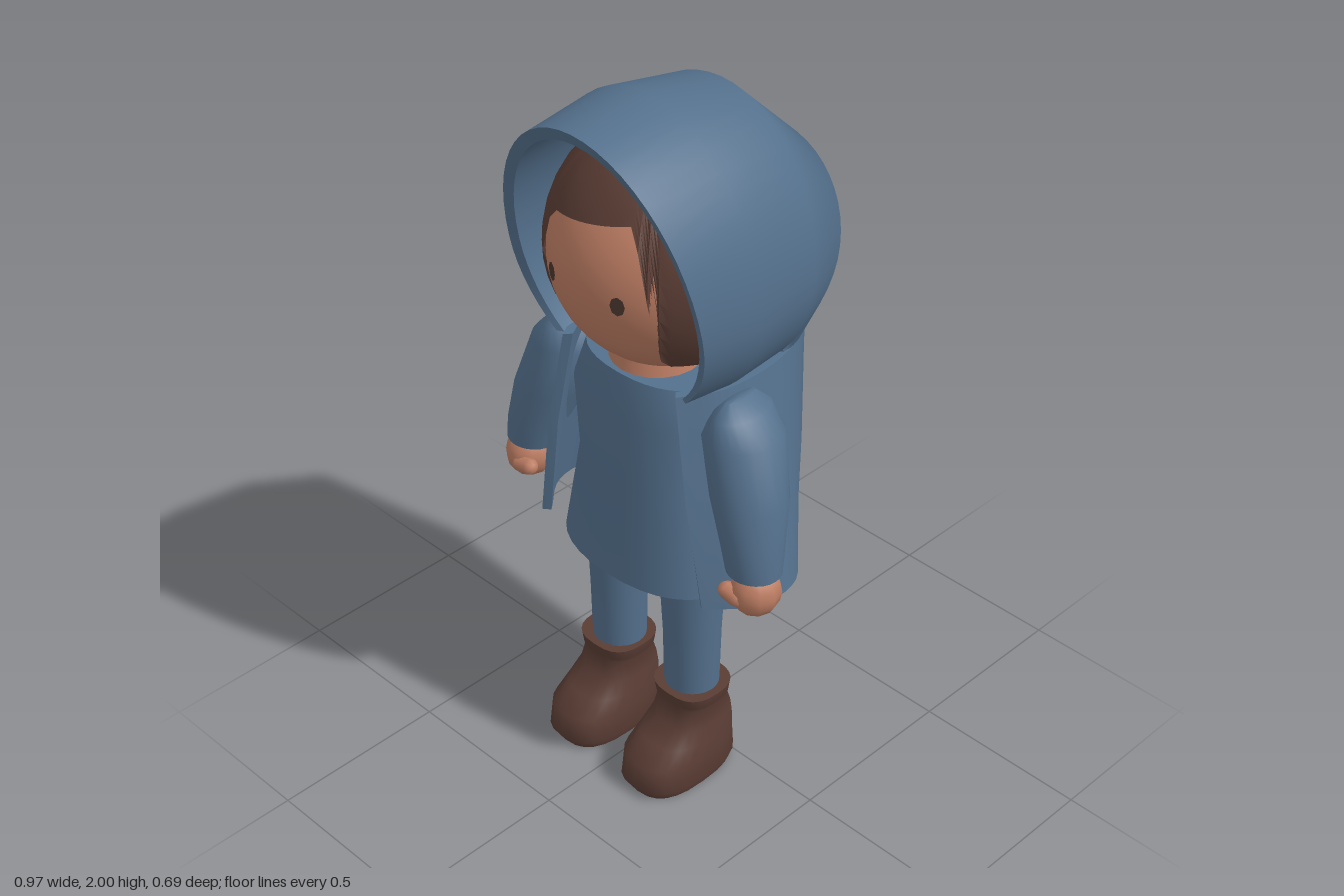
import * as THREE from 'three';
import { toCreasedNormals } from 'three/addons/utils/BufferGeometryUtils.js';

const mat = (name, color, side = THREE.FrontSide) => {
  const m = new THREE.MeshStandardMaterial({ color, side });
  m.name = name;
  return m;
};
const V = (x, y, z) => new THREE.Vector3(x, y, z);

// Skin a list of equal-length rings of points; closed rings wrap around.
function loft(rings, closed = true) {
  const n = rings[0].length, pos = [], idx = [];
  rings.forEach(r => r.forEach(p => pos.push(p.x, p.y, p.z)));
  for (let i = 0; i < rings.length - 1; i++) {
    for (let j = 0; j < (closed ? n : n - 1); j++) {
      const k = (j + 1) % n;
      const a = i * n + j, b = i * n + k, c = a + n, d = b + n;
      idx.push(a, c, d, a, d, b);
    }
  }
  const g = new THREE.BufferGeometry();
  g.setAttribute('position', new THREE.Float32BufferAttribute(pos, 3));
  g.setIndex(idx);
  return toCreasedNormals(g, 1.0);
}

// Solid from horizontal ovals, bottom to top: [y, cx, cz, rx, rz], capped at both ends.
function ovals(rows, power = 1, seg = 24) {
  const sq = v => Math.sign(v) * Math.abs(v) ** power;
  const ring = ([y, cx, cz, rx, rz]) => Array.from({ length: seg }, (_, j) => {
    const t = j / seg * Math.PI * 2;
    return V(cx + rx * sq(Math.cos(t)), y, cz + rz * sq(Math.sin(t)));
  });
  const cap = ([y, cx, cz]) => [y, cx, cz, 0, 0];
  return loft([cap(rows[0]), ...rows, cap(rows[rows.length - 1])].map(ring));
}

// Hood arch standing on the neckline, leaning from zBot to zTop.
const NECK = 1.28, SPREAD = 0.82, ARCH = 40;
function arch(w, top, zTop, zBot, cy = 1.53) {
  return Array.from({ length: ARCH + 1 }, (_, j) => {
    const t = -SPREAD + (Math.PI + 2 * SPREAD) * j / ARCH, s = Math.sin(t);
    const y = s > 0 ? cy + (top - cy) * s : cy + (cy - NECK) * s / Math.sin(SPREAD);
    return V(w * Math.cos(t), y, zBot + (zTop - zBot) * (y - NECK) / (top - NECK));
  });
}

function hoodGeometry() {
  const nape = Array.from({ length: ARCH + 1 }, (_, j) => {
    const t = Math.PI * j / ARCH;
    return V(0.25 * Math.cos(t), NECK, -0.1 - 0.24 * Math.sin(t));
  });
  return loft([
    arch(0.31, 1.9, -0.13, -0.08), arch(0.335, 1.95, 0.11, 0.08), arch(0.308, 1.945, 0.335, 0.2),
    arch(0.335, 1.98, 0.35, 0.21), arch(0.365, 2.0, 0.11, 0.08), arch(0.345, 1.95, -0.14, -0.1),
    arch(0.32, 1.76, -0.34, -0.1, 1.5), nape,
  ], false);
}

// Open-fronted cape: each section is a thin curved band from one front edge round the back.
function capeGeometry() {
  const band = (y, half) => {
    const pts = [...half.map(([x, z]) => V(-x, y, z)), ...half.slice(0, -1).reverse().map(([x, z]) => V(x, y, z))];
    const outer = new THREE.CatmullRomCurve3(pts).getPoints(40);
    const inner = outer.map(p => p.clone().addScaledVector(V(p.x, 0, p.z).normalize(), -0.025));
    return [...outer, ...inner.reverse()];
  };
  const middle = r => r.map((p, j) => p.clone().add(r[r.length - 1 - j]).multiplyScalar(0.5));
  const low = band(0.68, [[0.3, 0.22], [0.39, 0.1], [0.385, -0.04], [0.24, -0.16], [0, -0.2]]);
  const mid = band(1.0, [[0.25, 0.23], [0.32, 0.1], [0.325, -0.07], [0.23, -0.21], [0, -0.27]]);
  const high = band(1.285, [[0.2, 0.215], [0.26, 0.1], [0.26, -0.1], [0.19, -0.26], [0, -0.335]]);
  return loft([middle(low), low, mid, high, middle(high)]);
}

// Hair cap whose hem is short over the brow and long at the sides.
function hairGeometry() {
  const cols = 72, rows = 14;
  const hem = a => {
    const s = Math.abs(a);
    if (s < 0.45) return 1.73 + 0.05 * a;
    if (s < 0.57) return THREE.MathUtils.lerp(1.73 + 0.05 * a, 1.66, (s - 0.45) / 0.12);
    return THREE.MathUtils.lerp(1.66, 1.36, Math.min(1, (s - 0.57) / 0.14));
  };
  const rings = [];
  for (let i = rows; i >= 0; i--) {
    rings.push(Array.from({ length: cols }, (_, j) => {
      const a = Math.PI - j / cols * Math.PI * 2;
      const th = Math.acos((hem(a) - 1.57) / 0.34) * i / rows;
      const r = 0.315 * Math.sin(th);
      return V(r * Math.sin(a), 1.57 + 0.34 * Math.cos(th), 0.03 + r * Math.cos(a));
    }));
  }
  return loft(rings);
}

export function createModel() {
  const blue = mat('blue cloth', 0x54708c);
  const blueOpen = mat('blue cloth', 0x54708c, THREE.DoubleSide);
  blueOpen.name = 'blue cloth two sided';
  const skin = mat('skin', 0xbd7d63);
  const brown = mat('brown', 0x5a3d34, THREE.DoubleSide);
  const dark = mat('eye brown', 0x4a362e);

  const model = new THREE.Group();
  model.name = 'hoodedFigure';
  const add = (name, geo, material, parent = model) => {
    const m = new THREE.Mesh(geo, material);
    m.name = name;
    parent.add(m);
    return m;
  };

  // Head
  add('head', new THREE.SphereGeometry(0.3, 36, 24), skin).position.set(0, 1.56, 0.04);
  add('hair', hairGeometry(), brown);
  add('neck', new THREE.CylinderGeometry(0.11, 0.13, 0.1, 20), skin).position.set(0, 1.275, 0.08);

  // Clothing
  add('hood', hoodGeometry(), blueOpen);
  add('cape', capeGeometry(), blueOpen);
  add('tunic', ovals([
    [0.66, 0, 0.095, 0.272, 0.175], [0.95, 0, 0.1, 0.212, 0.145],
    [1.15, 0, 0.1, 0.235, 0.14], [1.265, 0, 0.09, 0.2, 0.125],
  ], 0.9, 32), blue);

  // Paired parts
  for (const s of [1, -1]) {
    const side = s > 0 ? 'left' : 'right';

    const eye = add(side + 'Eye', new THREE.CircleGeometry(1, 8), dark);
    eye.scale.set(0.02, 0.026, 1);
    eye.position.set(s * 0.113, 1.555, 0.321);
    eye.rotation.y = s * 0.38;

    const ear = add(side + 'Ear', new THREE.SphereGeometry(1, 12, 10), skin);
    ear.scale.set(0.03, 0.075, 0.05);
    ear.position.set(s * 0.295, 1.53, 0.1);

    add(side + 'Sleeve', ovals([
      [0.835, s * 0.407, 0.145, 0.075, 0.07], [0.9, s * 0.395, 0.138, 0.082, 0.08],
      [1.02, s * 0.36, 0.115, 0.1, 0.1], [1.18, s * 0.308, 0.088, 0.102, 0.108],
      [1.24, s * 0.3, 0.085, 0.055, 0.09], [1.275, s * 0.295, 0.085, 0.015, 0.05],
    ]), blue);

    const hand = add(side + 'Hand', new THREE.SphereGeometry(1, 10, 8), skin);
    hand.scale.set(0.066, 0.07, 0.068);
    hand.position.set(s * 0.42, 0.778, 0.15);
    const thumb = add(side + 'Thumb', new THREE.CapsuleGeometry(0.024, 0.035, 3, 8), skin);
    thumb.position.set(s * 0.385, 0.773, 0.2);
    thumb.rotation.z = Math.PI / 2 - s * 0.15;

    add(side + 'Leg', ovals([
      [0.24, s * 0.14, 0.093, 0.075, 0.073], [0.45, s * 0.14, 0.092, 0.08, 0.077],
      [0.72, s * 0.137, 0.09, 0.097, 0.086],
    ]), blue);

    add(side + 'Boot', ovals([
      [0, s * 0.143, 0.15, 0.1, 0.155], [0.025, s * 0.143, 0.15, 0.108, 0.17],
      [0.1, s * 0.143, 0.147, 0.106, 0.162], [0.14, s * 0.143, 0.118, 0.1, 0.132],
      [0.18, s * 0.143, 0.096, 0.093, 0.104], [0.235, s * 0.143, 0.094, 0.084, 0.086],
      [0.25, s * 0.143, 0.094, 0.092, 0.09], [0.28, s * 0.143, 0.094, 0.096, 0.094],
    ], 0.75), brown);
  }
  return model;
}
